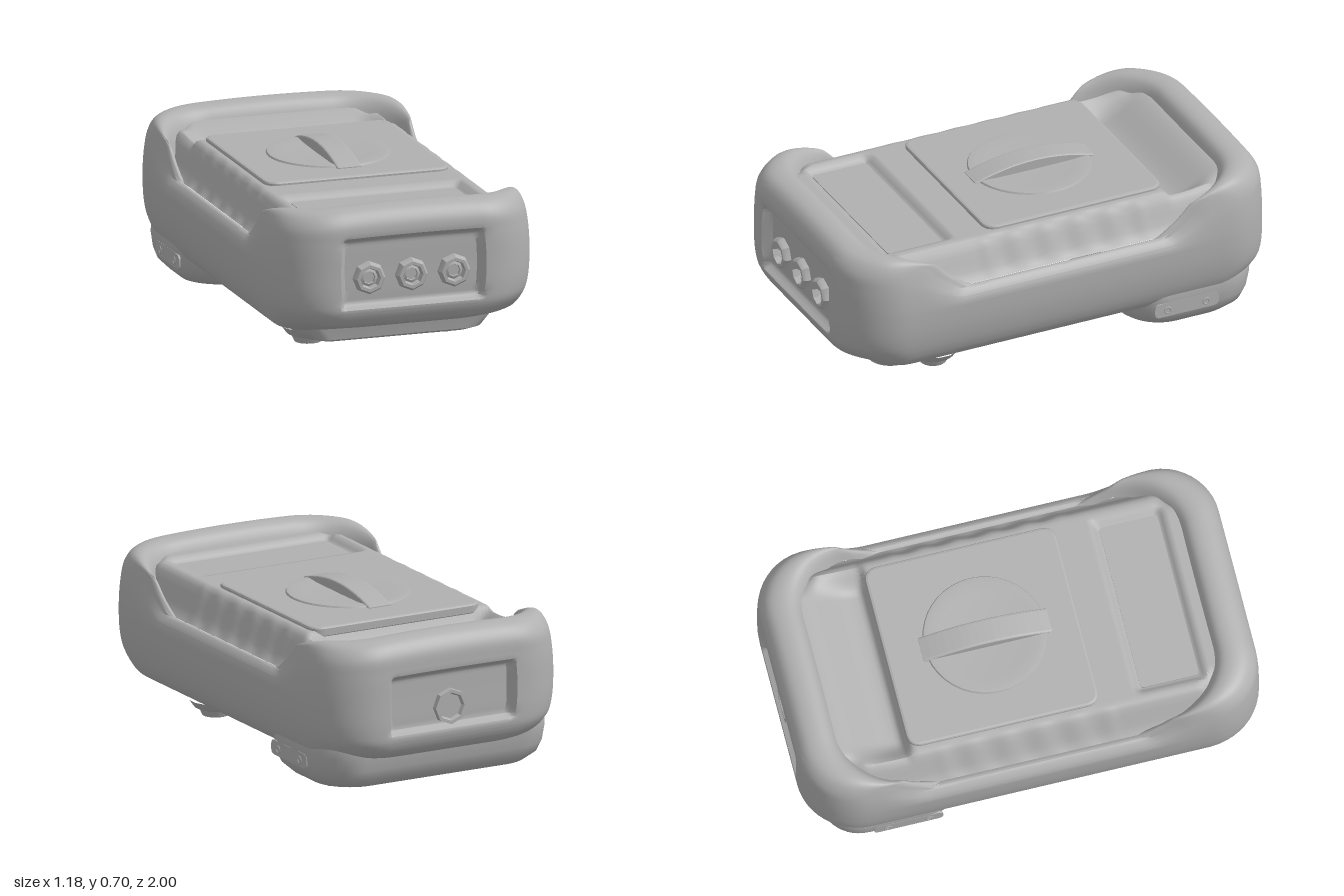
import * as THREE from 'three';
import { toCreasedNormals } from 'three/addons/utils/BufferGeometryUtils.js';

const grey = new THREE.MeshStandardMaterial({ color: 0xb0b0b0 });
grey.name = 'grey plastic';
const step = THREE.MathUtils.smoothstep;
// 1 inside a..b, fading to 0 over s at both ends
const band = (v, a, b, s) => step(v, a, a + s) * (1 - step(v, b - s, b));

// Points [x, z] around a rounded rectangle, always the same count
function outline(hx, hz, r, zc = 0) {
  const pts = [], sx = [1, -1, -1, 1], sz = [1, 1, -1, -1];
  const corner = (q, a) => [sx[q] * (hx - r) + r * Math.cos(a), zc + sz[q] * (hz - r) + r * Math.sin(a)];
  for (let q = 0; q < 4; q++) {
    for (let i = 0; i < 12; i++) pts.push(corner(q, (q + i / 12) * Math.PI / 2));
    const a = corner(q, (q + 1) * Math.PI / 2), b = corner((q + 1) % 4, (q + 1) * Math.PI / 2);
    for (let i = 0; i < 46; i++) pts.push([a[0] + (b[0] - a[0]) * i / 46, a[1] + (b[1] - a[1]) * i / 46]);
  }
  return pts;
}

// Skin over rings of [x, y, z] points from bottom to top, with a bottom cap
function loft(rings) {
  const n = rings[0].length, pos = rings.flat(2), idx = [];
  for (let j = 0; j < rings.length - 1; j++) {
    for (let i = 0; i < n; i++) {
      const a = j * n + i, b = j * n + (i + 1) % n;
      idx.push(a, a + n, b, b, a + n, b + n);
    }
  }
  const c = pos.length / 3;
  pos.push(0, rings[0][0][1], rings[0].reduce((s, p) => s + p[2], 0) / n);
  for (let i = 0; i < n; i++) idx.push(c, i, (i + 1) % n);
  const g = new THREE.BufferGeometry();
  g.setAttribute('position', new THREE.Float32BufferAttribute(pos, 3));
  g.setIndex(idx);
  return toCreasedNormals(g, 0.7);
}

function roundedShape(x0, y0, x1, y1, r) {
  const s = new THREE.Shape();
  s.moveTo(x0 + r, y0);
  s.lineTo(x1 - r, y0); s.quadraticCurveTo(x1, y0, x1, y0 + r);
  s.lineTo(x1, y1 - r); s.quadraticCurveTo(x1, y1, x1 - r, y1);
  s.lineTo(x0 + r, y1); s.quadraticCurveTo(x0, y1, x0, y1 - r);
  s.lineTo(x0, y0 + r); s.quadraticCurveTo(x0, y0, x0 + r, y0);
  return s;
}

const lathe = (pts, seg) =>
  toCreasedNormals(new THREE.LatheGeometry(pts.map(p => new THREE.Vector2(...p)), seg), 0.6);

// Height of the bumper rim: low along the sides, raised at both ends
function rimHeight(x, z) {
  const a = Math.abs(z);
  const h = 0.48 + 0.12 * THREE.MathUtils.clamp((a - 0.5) / 0.17, 0, 1) + 0.09 * step(a, 0.59, 0.86);
  return h - 0.07 * x * x * step(a, 0.65, 0.85);
}

function bumperGeometry() {
  const profile = new THREE.CatmullRomCurve3([
    [0.36, 0.78, 0.11], [0.46, 0.9, 0.122], [0.53, 0.965, 0.155], [0.562, 0.992, 0.21],
    [0.583, 1, 0.3], [0.59, 1, 0.42], [0.582, 0.999, 0.55], [0.57, 0.992, 0.625],
    [0.558, 0.955, 0.675], [0.55, 0.9, 0.69], [0.54, 0.855, 0.68], [0.53, 0.83, 0.65], [0.515, 0.8, 0.56],
  ].map(p => new THREE.Vector3(...p)));
  const outer = outline(0.59, 1, 0.25);
  const rings = profile.getSpacedPoints(90).map(({ x: hx, y: hz, z: y }) =>
    outline(hx, hz, 0.25).map(([x, z], i) => {
      const a = Math.abs(z), rim = rimHeight(x, (z + outer[i][1]) / 2);
      // the underside lifts toward both ends
      const py = y <= 0.42 ? y + 0.03 * step(a, 0.72, 0.9) * (1 - step(y, 0.16, 0.3))
        : 0.42 + (y - 0.42) * (rim - 0.42) / 0.27;
      // sunken panels in the front and back ends
      let dent = 0;
      if (z > 0.9 && hz > 0.97) dent = 0.04 * band(x, -0.325, 0.325, 0.03) * band(y, 0.24, 0.575, 0.035);
      if (z < -0.9 && hz > 0.97) dent = -0.04 * band(x, -0.31, 0.31, 0.03) * band(y, 0.26, 0.54, 0.035);
      return [x, py, z - dent];
    }));
  return loft(rings);
}

// Upper deck: sloping rippled sides, a sloped hollow at the back, a display well at the front
function deckGeometry() {
  const g = new THREE.PlaneGeometry(1.06, 1.66, 70, 110);
  g.rotateX(-Math.PI / 2);
  const p = g.attributes.position;
  for (let i = 0; i < p.count; i++) {
    const x = p.getX(i), z = p.getZ(i), a = Math.abs(x);
    let y = 0.632 - 0.16 * step(a, 0.43, 0.535);
    y += 0.01 * Math.sin(z * 42) * band(z, -0.45, 0.4, 0.08) * band(a, 0.43, 0.53, 0.04);
    y -= 0.1 * step(z, -0.84, -0.57) * (1 - step(z, -0.55, -0.52)) * band(x, -0.48, 0.48, 0.14);
    y -= 0.03 * band(z, 0.45, 0.77, 0.03) * band(x, -0.41, 0.4, 0.03);
    y -= 0.1 * step(a, 0.36, 0.5) * step(Math.abs(z), 0.72, 0.83);
    p.setY(i, y);
  }
  return toCreasedNormals(g, 0.9);
}

// Rounded block under the body from [hx, hz, y, zc] rows
const block = (rows, r) =>
  loft(rows.map(([hx, hz, y, zc]) => outline(hx, hz, r, zc).map(([x, z]) => [x, y, z])));

export function createModel() {
  const model = new THREE.Group();
  const add = (name, geo, x = 0, y = 0, z = 0) => {
    const m = new THREE.Mesh(geo, grey);
    m.name = name;
    m.position.set(x, y, z);
    model.add(m);
    return m;
  };

  add('bumper', bumperGeometry());
  add('deck', deckGeometry());

  // Raised control panel
  const panel = new THREE.ExtrudeGeometry(roundedShape(-0.4, -0.29, 0.4, 0.52, 0.05),
    { depth: 0.03, bevelSize: 0.012, bevelThickness: 0.008, bevelSegments: 2 });
  panel.rotateX(-Math.PI / 2);
  add('controlPanel', panel, 0, 0.61, 0);

  // Display plate
  const display = new THREE.ExtrudeGeometry(roundedShape(-0.375, -0.74, 0.365, -0.485, 0.02),
    { depth: 0.008, bevelEnabled: false });
  display.rotateX(-Math.PI / 2);
  add('display', display, 0, 0.599, 0);

  // Rotary dial with grip bar
  add('dial', lathe([[0.272, 0.635], [0.26, 0.655], [0.235, 0.657], [0.19, 0.653], [0, 0.651]], 40), 0, 0, -0.1);
  const arc = new THREE.Shape();
  arc.moveTo(-0.275, -0.02);
  arc.lineTo(0.275, -0.02);
  arc.lineTo(0.275, 0);
  arc.quadraticCurveTo(0, 0.09, -0.275, 0);
  const grip = new THREE.ExtrudeGeometry(arc,
    { depth: 0.09, curveSegments: 16, bevelSize: 0.005, bevelThickness: 0.01, bevelSegments: 2 });
  grip.translate(0, 0, -0.045);
  grip.rotateY(Math.PI / 2);
  add('dialGrip', grip, 0, 0.648, -0.1);

  // Front sockets and a wider, flatter back socket
  const socket = lathe([[0.075, -0.05], [0.07, 0.012], [0.06, 0.025], [0.046, 0.025],
    [0.04, 0], [0.028, 0.005], [0.022, -0.03], [0, -0.03]], 8);
  socket.rotateX(Math.PI / 2);
  for (const x of [-0.19, 0, 0.19]) add('socket', socket, x, 0.385, 0.967);
  const backSocket = lathe([[0.08, -0.03], [0.077, 0.012], [0.062, 0.012], [0.055, -0.004], [0, -0.004]], 8);
  backSocket.rotateX(-Math.PI / 2);
  add('backSocket', backSocket, 0, 0.36, -0.972);

  // Blocks under the body
  add('backBlock', block([[0.44, 0.2, 0.016, -0.62], [0.5, 0.245, 0.03, -0.62], [0.535, 0.28, 0.065, -0.62],
    [0.55, 0.295, 0.11, -0.62], [0.556, 0.305, 0.17, -0.62], [0.553, 0.31, 0.22, -0.62],
    [0.53, 0.3, 0.29, -0.62]], 0.17));
  add('frontBlock', block([[0.37, 0.235, 0.068, 0.55], [0.4, 0.25, 0.078, 0.55],
    [0.44, 0.26, 0.13, 0.55], [0.46, 0.28, 0.2, 0.55]], 0.1));

  // Feet and side plates, mirrored
  const frontFoot = lathe([[0, 0.012], [0.03, 0.012], [0.035, 0], [0.058, 0.002],
    [0.07, 0.03], [0.09, 0.038], [0.115, 0.072]], 14);
  const footRing = new THREE.TorusGeometry(0.07, 0.016, 6, 16).rotateX(Math.PI / 2);
  const footFrame = new THREE.Shape([[-0.11, -0.07], [-0.07, -0.11], [0.07, -0.11], [0.11, -0.07],
    [0.11, 0.07], [0.07, 0.11], [-0.07, 0.11], [-0.11, 0.07]].map(p => new THREE.Vector2(...p)));
  footFrame.holes.push(new THREE.Path().absarc(0, 0, 0.088, 0, Math.PI * 2, true));
  const frame = new THREE.ExtrudeGeometry(footFrame, { depth: 0.02, bevelEnabled: false });
  frame.rotateX(-Math.PI / 2);
  const plate = new THREE.ExtrudeGeometry(roundedShape(-0.15, -0.032, 0.15, 0.032, 0.025),
    { depth: 0.008, bevelEnabled: false });
  plate.rotateY(Math.PI / 2);
  const screw = new THREE.TorusGeometry(0.014, 0.005, 5, 10).rotateY(Math.PI / 2);
  for (const s of [-1, 1]) {
    add('frontFoot', frontFoot, s * 0.3, 0, 0.5);
    add('backFootRing', footRing, s * 0.335, 0.018, -0.64);
    add('backFootFrame', frame, s * 0.335, 0.008, -0.64);
    add('sidePlate', plate, s * 0.552 - 0.004, 0.128, -0.57);
    for (const z of [-0.48, -0.66]) add('sideScrew', screw, s * 0.555, 0.125, z);
  }
  return model;
}
